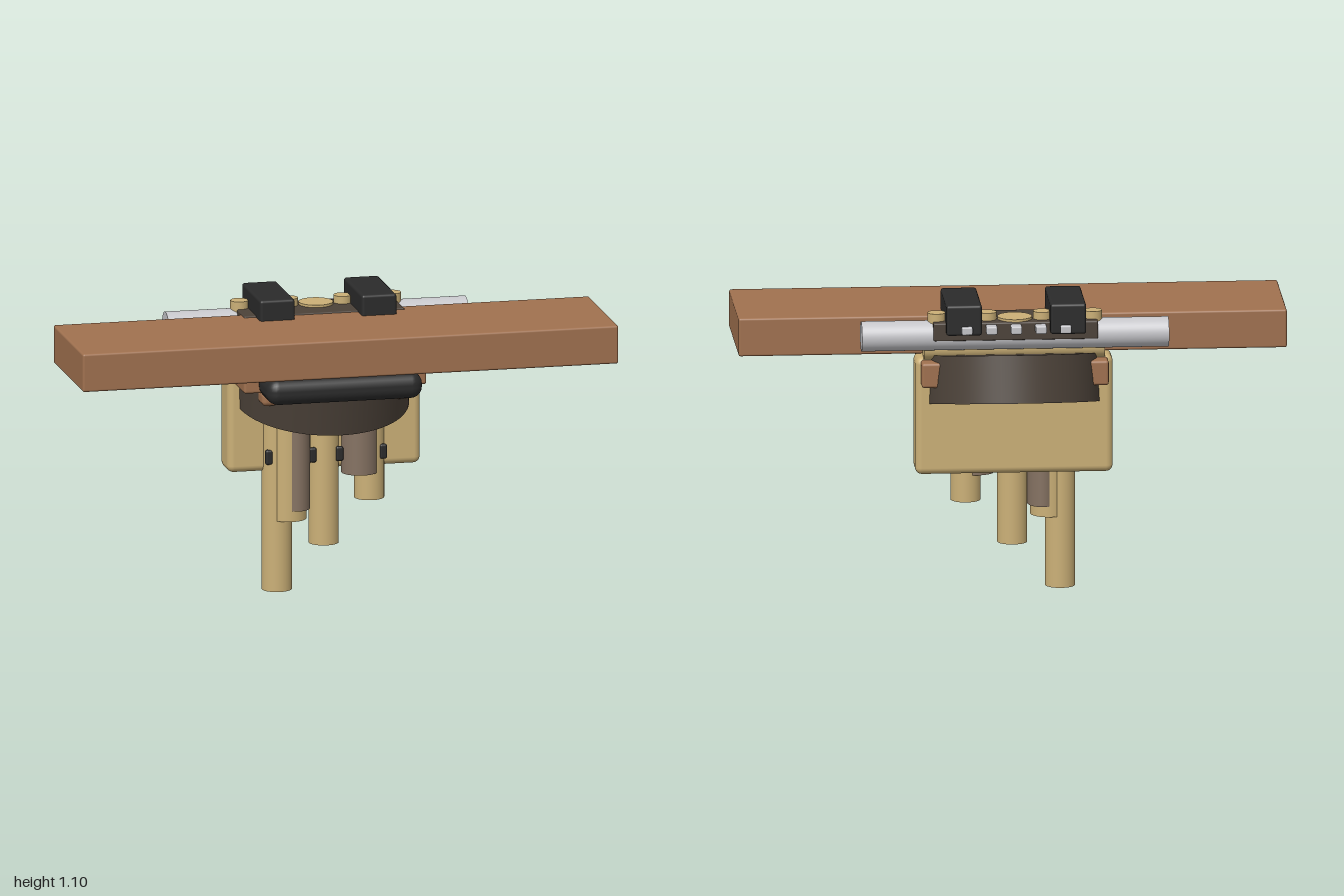
import * as THREE from 'three';
import { RoundedBoxGeometry } from 'three/addons/geometries/RoundedBoxGeometry.js';

const mat = (name, color) => {
  const m = new THREE.MeshStandardMaterial({ color });
  m.name = name;
  return m;
};

export function createModel() {
  const tan = mat('tan', 0xcbb077);
  const brown = mat('wood brown', 0xa0714f);
  const dark = mat('dark brown', 0x4c4239);
  const grey = mat('grey brown', 0x857262);
  const black = mat('black', 0x2b2b2b);
  const silver = mat('silver', 0xc6c6ca);
  const model = new THREE.Group();

  const add = (name, geo, material, x, y, z) => {
    const mesh = new THREE.Mesh(geo, material);
    mesh.name = name;
    mesh.position.set(x, y, z);
    model.add(mesh);
    return mesh;
  };
  // Rounded box from its low and high corners
  const box = (name, m, [x0, y0, z0], [x1, y1, z1], r) =>
    add(name, new RoundedBoxGeometry(x1 - x0, y1 - y0, z1 - z0, 3, r), m,
      (x0 + x1) / 2, (y0 + y1) / 2, (z0 + z1) / 2);
  // Upright cylinder between two heights
  const post = (name, m, x, z, r, y0, y1, sides = 32) =>
    add(name, new THREE.CylinderGeometry(r, r, y1 - y0, sides), m, x, (y0 + y1) / 2, z);
  // Cylinder lying along x
  const rod = (name, m, y, z, r, x0, x1) => {
    const c = add(name, new THREE.CylinderGeometry(r, r, x1 - x0, 40), m, (x0 + x1) / 2, y, z);
    c.rotation.z = Math.PI / 2;
    return c;
  };

  // Wide board, backing block and tilted drum
  box('board', brown, [-1, 0.88, -0.083], [1, 1.022, 0.395], 0.008);
  box('backBlock', tan, [-0.36, 0.443, -0.157], [0.36, 0.88, -0.03], 0.025);
  const drum = add('drum', new THREE.CylinderGeometry(0.32, 0.32, 0.176, 64), dark, 0, 0.78, -0.064);
  drum.rotation.x = 0.209;

  // Crossbar and tan rod below it
  rod('crossbar', silver, 0.97, -0.175, 0.055, -0.56, 0.56);
  rod('lowerRod', tan, 0.915, -0.132, 0.045, -0.33, 0.33);

  // Upper plate with knobs, blocks and studs
  box('upperPlate', dark, [-0.3, 0.96, -0.235], [0.3, 1.027, -0.03], 0.006);
  post('centreKnob', tan, 0, -0.17, 0.063, 1.0, 1.036);
  for (const s of [-1, 1]) {
    box('topBlock', black, [s * 0.19 - 0.065, 0.985, -0.263], [s * 0.19 + 0.065, 1.098, 0.036], 0.01);
    for (const x of [0.1, 0.285]) post('knob', tan, s * x, -0.174, 0.033, 0.99, 1.055, 24);
  }
  for (let i = -2; i <= 2; i++)
    box('stud', silver, [i * 0.09 - 0.02, 0.99, -0.276], [i * 0.09 + 0.02, 1.02, -0.225], 0.006);

  // Padded front bar and the side arms that hold it
  box('frontPad', black, [-0.29, 0.768, 0.13], [0.29, 0.865, 0.327], 0.043);
  box('padBacking', brown, [-0.27, 0.865, 0.03], [0.27, 0.876, 0.16], 0.005);
  for (const s of [-1, 1]) {
    box('sideArm', brown, [s * 0.3 - 0.041, 0.78, -0.212], [s * 0.3 + 0.041, 0.872, 0.147], 0.01);
    box('padClip', brown, [s * 0.247 - 0.03, 0.733, 0.085], [s * 0.247 + 0.03, 0.785, 0.167], 0.018);
  }

  // Hanging pipes of stepped lengths
  [[-0.175, 0], [0, 0.165], [0.17, 0.325]].forEach(([x, y]) =>
    post('pipe', tan, x, -0.044, 0.055, y, 0.72));
  post('innerPipe', tan, -0.135, -0.034, 0.068, 0.265, 0.7);
  const long = post('longSleeve', grey, -0.11, -0.033, 0.055, 0.305, 0.72);
  long.scale.z = 1.38;
  post('shortSleeve', grey, 0.13, -0.03, 0.067, 0.425, 0.72);

  // Small black fasteners beside the pipes
  for (const x of [-0.213, -0.05, 0.05, 0.213])
    box('fastener', black, [x - 0.014, 0.475, -0.016], [x + 0.014, 0.53, 0.005], 0.008);

  return model;
}
